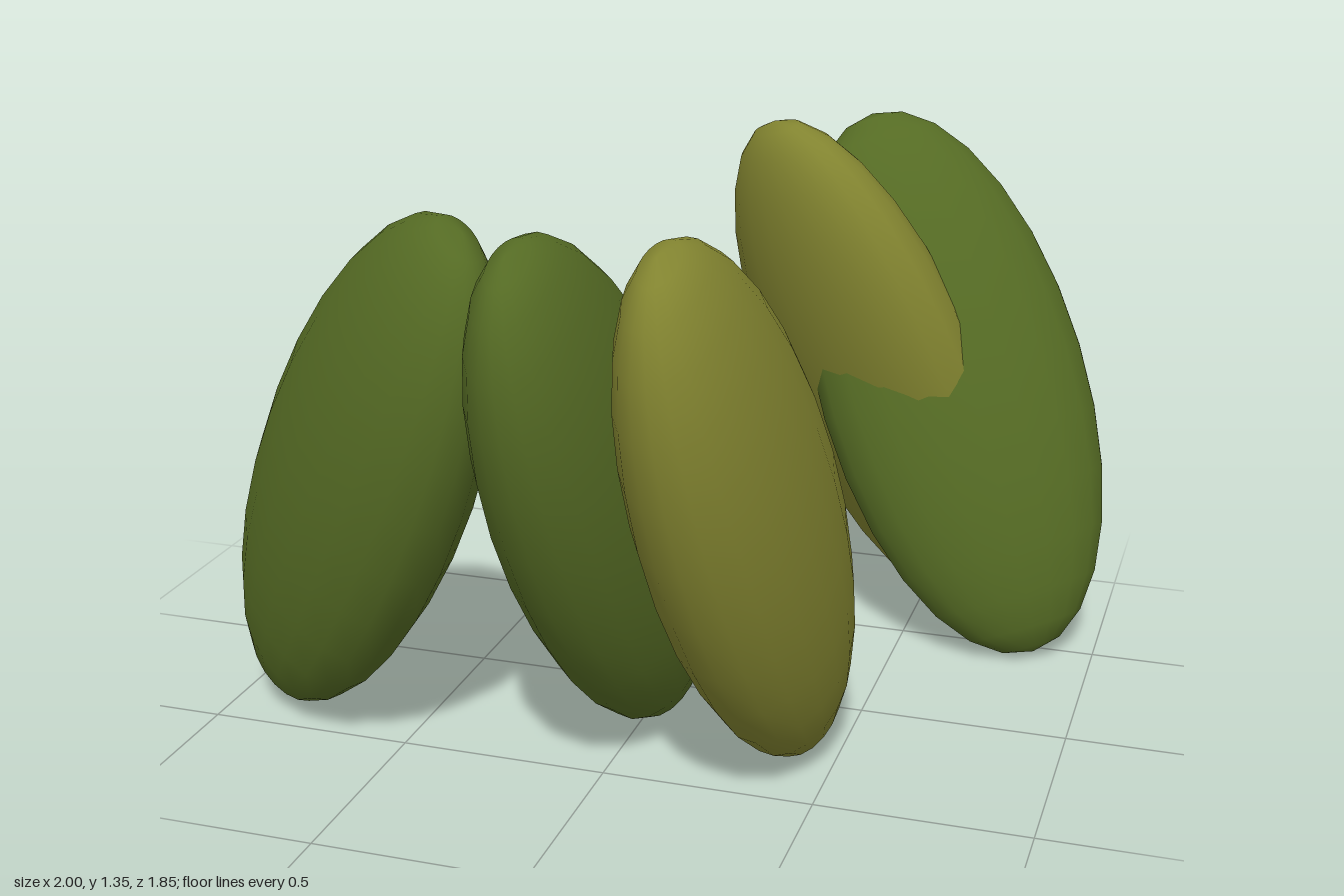
import * as THREE from 'three';

export function createModel() {
  const group = new THREE.Group();
  const green = new THREE.MeshStandardMaterial({ color: 0x556b24 });
  green.name = 'leafGreen';
  const olive = new THREE.MeshStandardMaterial({ color: 0x828430 });
  olive.name = 'oliveGreen';

  // One flattened oval pad: thin along x, long along y, medium along z
  const padShape = new THREE.SphereGeometry(1, 20, 14);
  padShape.scale(0.198, 0.73, 0.35);

  // centre, direction of the long axis, direction of the thin axis
  const pads = [
    ['rightPad', green, [-0.585, 0.68, 0.48], [0.53, 1, 0.26], [1, -0.19, -1.21]],
    ['middlePad', green, [-0.025, 0.68, 0.45], [-0.1, 1, 0.58], [1, 0.07, 0.05]],
    ['leftPad', olive, [0.32, 0.68, 0.48], [-0.14, 1, 0.49], [1, 0.1, 0.06]],
    ['backInnerPad', olive, [0.37, 0.683, -0.64], [-0.37, 1, 0.2], [1.53, 1, -2.44]],
    ['backOuterPad', green, [0.585, 0.68, -0.605], [-0.41, 1, -0.25], [0.91, 1, 2.34]],
  ];

  for (const [name, material, centre, longDir, thinDir] of pads) {
    const y = new THREE.Vector3(...longDir).normalize();
    const z = new THREE.Vector3(...thinDir).cross(y).normalize();
    const x = new THREE.Vector3().crossVectors(y, z);
    const pad = new THREE.Mesh(padShape, material);
    pad.name = name;
    pad.position.set(...centre);
    pad.quaternion.setFromRotationMatrix(new THREE.Matrix4().makeBasis(x, y, z));
    group.add(pad);
  }
  return group;
}
